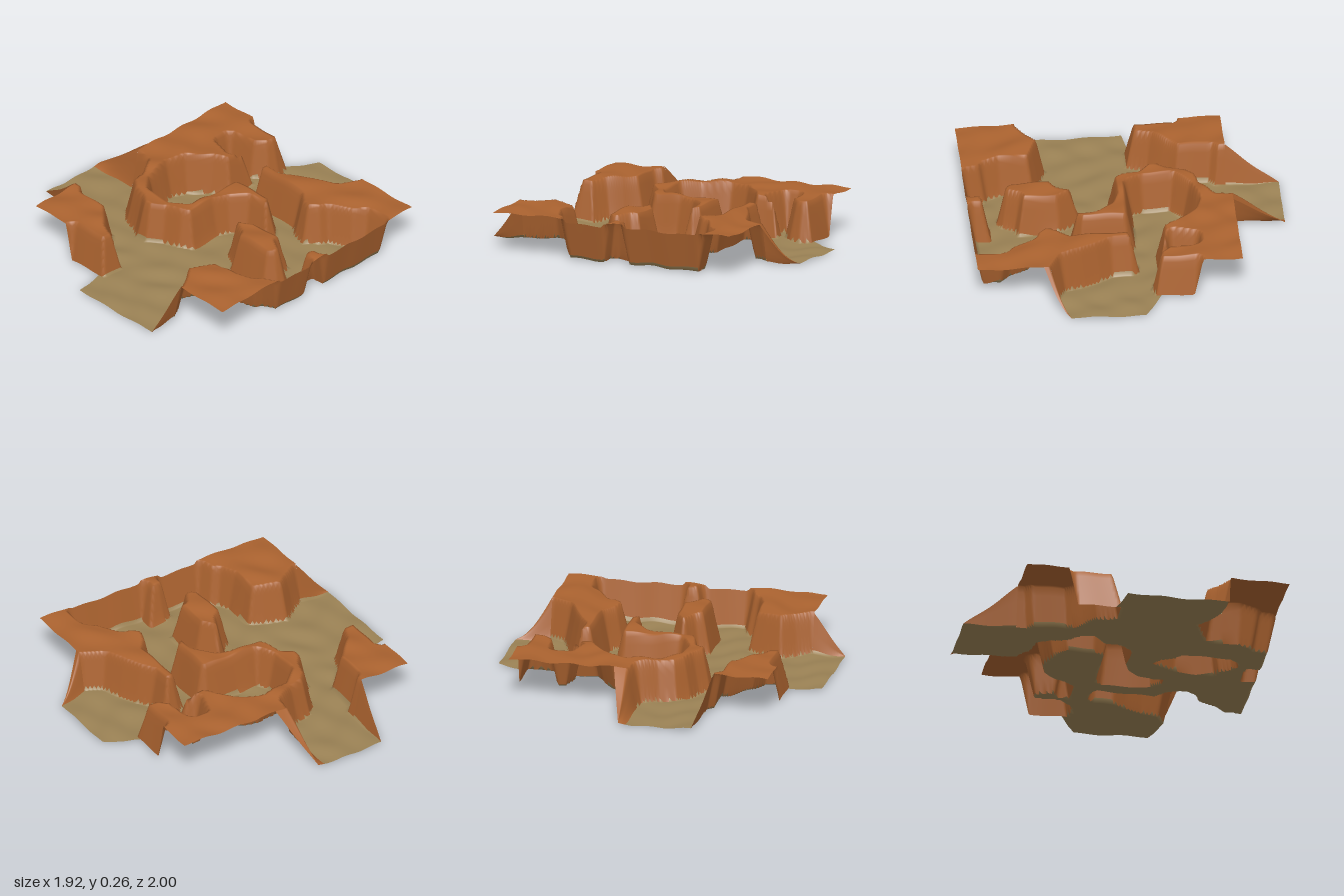
import * as THREE from 'three';

const FLOOR = 0.012, TOP = 0.258, SLOPE = 0.052;
const X0 = -0.64, X1 = 0.96, Z0 = -0.8, Z1 = 0.8;

// Foot outlines [x, z] of the raised rock; they run past the square where the rock is cut off open
const hookMesa = [
  [-0.35, -0.8], [-0.12, -0.8], [-0.1, -0.72], [-0.12, -0.65], [-0.2, -0.58], [-0.36, -0.56], [-0.36, -0.51],
  [-0.25, -0.48], [-0.23, -0.54], [-0.15, -0.55], [-0.15, -0.36], [-0.25, -0.3], [-0.36, -0.2], [-0.39, -0.1],
  [-0.35, 0.06], [-0.28, 0.14], [-0.12, 0.14], [-0.05, 0.1], [-0.04, -0.25], [0, -0.3], [0.3, -0.3],
  [0.36, -0.24], [0.36, -0.16], [0.2, -0.15], [0.13, -0.08], [0.1, 0], [0.1, 0.2], [0.03, 0.25], [-0.08, 0.28],
  [-0.15, 0.35], [-0.23, 0.35], [-0.3, 0.3], [-0.4, 0.27], [-0.48, 0.2], [-0.5, 0.1], [-0.56, 0], [-0.64, -0.01],
  [-1, -0.01], [-1, -1], [-0.36, -1],
];
const eastMesa = [
  [0.48, -1], [0.47, -0.8], [0.42, -0.7], [0.3, -0.65], [0.2, -0.6], [0.12, -0.55], [0, -0.55], [-0.04, -0.53],
  [-0.03, -0.45], [0, -0.4], [0.35, -0.4], [0.42, -0.34], [0.52, -0.31], [0.6, -0.38], [0.62, -0.43],
  [0.75, -0.5], [0.8, -0.56], [0.91, -0.57], [0.912, -0.1], [0.82, -0.1], [0.82, 0], [0.84, 0.06], [0.912, 0.07],
  [0.912, 0.3], [0.82, 0.33], [0.8, 0.37], [0.72, 0.4], [0.52, 0.41], [0.48, 0.5], [0.43, 0.63], [0.5, 0.72],
  [0.55, 0.8], [0.55, 1.1], [1.2, 1.1], [1.2, -1],
];
const island = [
  [0.26, 0.04], [0.4, -0.05], [0.65, -0.06], [0.67, 0], [0.74, 0.04], [0.77, 0.08], [0.76, 0.14], [0.7, 0.2],
  [0.42, 0.2], [0.38, 0.14], [0.3, 0.1],
];
const southwestMesa = [
  [-1, 0.42], [-0.58, 0.41], [-0.54, 0.45], [-0.34, 0.45], [-0.25, 0.53], [-0.18, 0.6], [-0.06, 0.65],
  [-0.06, 0.8], [-0.33, 0.8], [-0.34, 1.1], [-1, 1.1],
];
const mesas = [hookMesa, eastMesa, island, southwestMesa];

// Depth of a point inside an outline, zero when outside
function depthInside(poly, x, z) {
  let inside = false, best = Infinity;
  poly.forEach(([ax, az], i) => {
    const [bx, bz] = poly[(i + 1) % poly.length];
    if ((az > z) !== (bz > z) && x < ax + ((z - az) / (bz - az)) * (bx - ax)) inside = !inside;
    const dx = bx - ax, dz = bz - az;
    const t = THREE.MathUtils.clamp(((x - ax) * dx + (z - az) * dz) / (dx * dx + dz * dz), 0, 1);
    best = Math.min(best, Math.hypot(x - ax - t * dx, z - az - t * dz));
  });
  return inside ? best : 0;
}

// Gentle unevenness of the ground
const ripple = (x, z) => 0.004 * Math.sin(x * 23 + 2 * Math.sin(z * 11)) + 0.004 * Math.sin(z * 27 + x * 9);

// Share of the full rock height: 0 on the floor, 1 on top
const rise = (x, z) => Math.min(1, Math.max(...mesas.map((m) => depthInside(m, x, z))) / SLOPE);
const ground = (x, z, r) => FLOOR + (TOP - FLOOR) * r + ripple(x, z);

// Grid of points {p, r} split into floor and rock surfaces
function addSheet(group, name, nu, nv, point, mats) {
  const positions = [], rises = [], floor = [], rock = [];
  for (let v = 0; v <= nv; v++) {
    for (let u = 0; u <= nu; u++) {
      const { p, r } = point(u / nu, v / nv);
      positions.push(...p);
      rises.push(r);
    }
  }
  const tri = (...t) => (t.some((i) => rises[i] > 0.12) ? rock : floor).push(...t);
  for (let v = 0; v < nv; v++) {
    for (let u = 0; u < nu; u++) {
      const a = v * (nu + 1) + u, b = a + nu + 1;
      tri(a, b, a + 1);
      tri(a + 1, b, b + 1);
    }
  }
  [['Floor', floor, mats.sand], ['Rock', rock, mats.rock]].forEach(([part, index, mat]) => {
    const g = new THREE.BufferGeometry();
    g.setAttribute('position', new THREE.Float32BufferAttribute(positions, 3));
    g.setIndex(index);
    g.computeVertexNormals();
    const mesh = new THREE.Mesh(g, mat);
    mesh.name = name + part;
    group.add(mesh);
  });
}

export function createModel() {
  const model = new THREE.Group();
  model.name = 'canyonTerrain';
  const mats = {
    sand: new THREE.MeshStandardMaterial({ color: 0x9a8154, side: THREE.DoubleSide }),
    rock: new THREE.MeshStandardMaterial({ color: 0xaa622f, side: THREE.DoubleSide }),
  };
  mats.sand.name = 'sand';
  mats.rock.name = 'rock';

  // Main square with channels between the mesas
  addSheet(model, 'canyon', 144, 144, (u, v) => {
    const x = X0 + (X1 - X0) * u, z = Z0 + (Z1 - Z0) * v, r = rise(x, z);
    return { p: [x, ground(x, z, r), z], r };
  }, mats);

  // Exit ramps: from the edge of the square out to a narrower floor edge, side walls tapering to nothing
  const exits = [
    { name: 'northExit', along: 'x', edge: Z0, end: -1, from: -0.15, to: 0.56, low: -0.04, high: 0.41, curve: 1.6 },
    { name: 'southExit', along: 'x', edge: Z1, end: 1, from: -0.1, to: 0.6, low: -0.06, high: 0.56, curve: 1 },
    { name: 'westExit', along: 'z', edge: X0, end: -0.96, from: -0.15, to: 0.465, low: -0.05, high: 0.4, curve: 1 },
  ];
  exits.forEach((e) => {
    addSheet(model, e.name, 60, 12, (u, v) => {
      const inner = THREE.MathUtils.lerp(e.from, e.to, u);
      const s = THREE.MathUtils.lerp(inner, THREE.MathUtils.clamp(inner, e.low, e.high), v);
      const o = THREE.MathUtils.lerp(e.edge, e.end, v);
      const r = e.along === 'x' ? rise(inner, e.edge) : rise(e.edge, inner);
      const [x, z] = e.along === 'x' ? [s, o] : [o, s];
      return { p: [x, ground(x, z, r * (1 - v) ** e.curve), z], r };
    }, mats);
  });
  return model;
}
